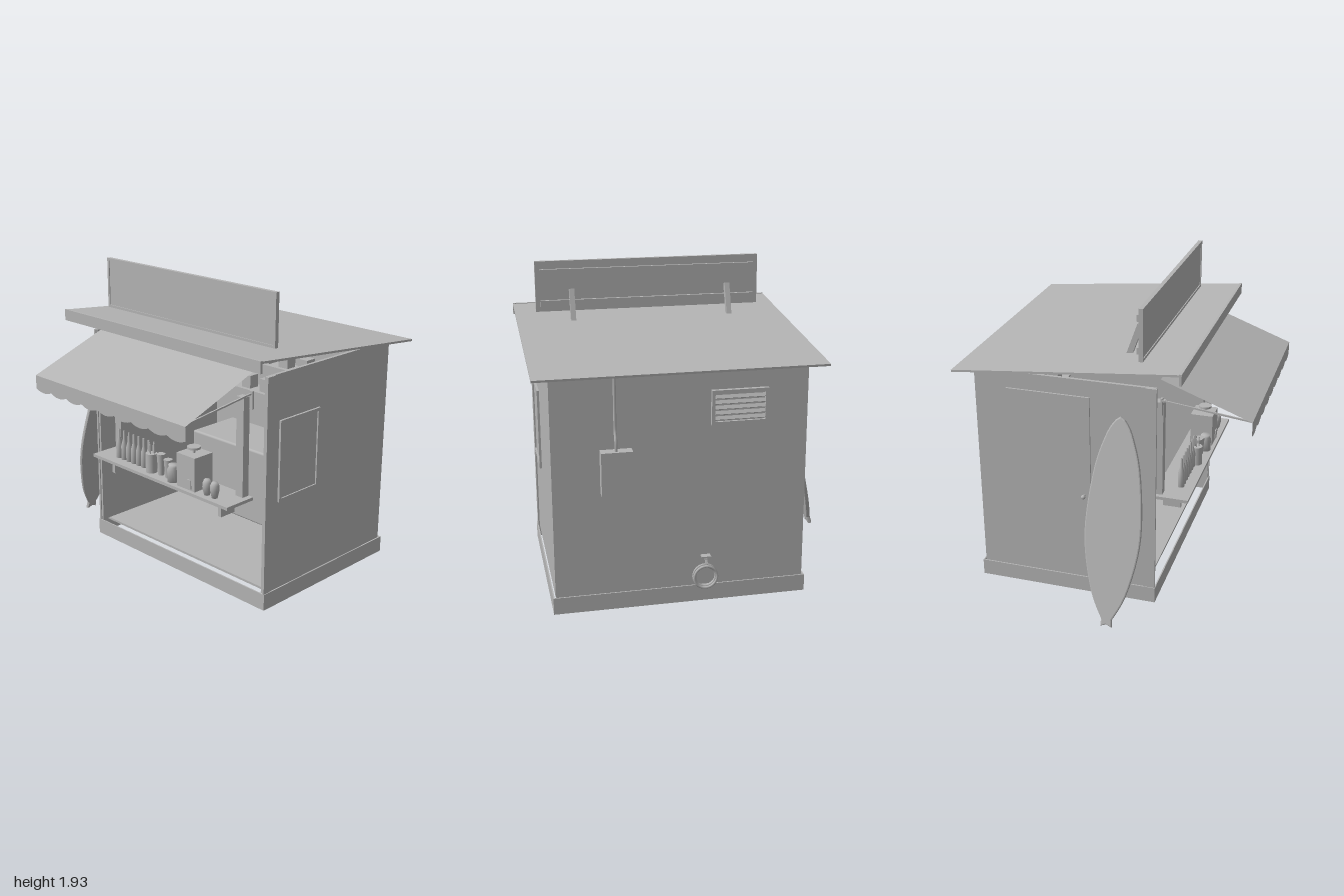
import * as THREE from 'three';
import { RoundedBoxGeometry } from 'three/addons/geometries/RoundedBoxGeometry.js';

export function createModel() {
  const root = new THREE.Group();
  const grey = new THREE.MeshStandardMaterial({ color: 0xb4b4b4 });
  grey.name = 'grey';
  const greySheet = new THREE.MeshStandardMaterial({ color: 0xb4b4b4, side: THREE.DoubleSide });
  greySheet.name = 'grey';

  const add = (name, geo, x = 0, y = 0, z = 0, mat = grey) => {
    const m = new THREE.Mesh(geo, mat);
    m.name = name;
    m.position.set(x, y, z);
    root.add(m);
    return m;
  };
  // box given by its limits on each axis
  const box = (name, x0, x1, y0, y1, z0, z1) =>
    add(name, new THREE.BoxGeometry(x1 - x0, y1 - y0, z1 - z0), (x0 + x1) / 2, (y0 + y1) / 2, (z0 + z1) / 2);
  // thin bar between two points; w across, h thick
  const bar = (name, a, b, w, h) => {
    const p = new THREE.Vector3(...a), q = new THREE.Vector3(...b);
    const m = add(name, new THREE.BoxGeometry(w, h, p.distanceTo(q)));
    m.position.copy(p).add(q).multiplyScalar(0.5);
    m.lookAt(q);
    return m;
  };
  const lathe = (name, pts, x, y, z, n = 16) =>
    add(name, new THREE.LatheGeometry(pts.map(p => new THREE.Vector2(...p)), n), x, y, z, greySheet);
  // rectangular border facing +x, +z or -z, made from four strips
  const frameX = (name, x0, x1, y0, y1, z0, z1, t) => {
    box(name, x0, x1, y0, y1, z0, z0 + t);
    box(name, x0, x1, y0, y1, z1 - t, z1);
    box(name, x0, x1, y0, y0 + t, z0 + t, z1 - t);
    box(name, x0, x1, y1 - t, y1, z0 + t, z1 - t);
  };
  const frameZ = (name, x0, x1, y0, y1, z0, z1, t) => {
    box(name, x0, x0 + t, y0, y1, z0, z1);
    box(name, x1 - t, x1, y0, y1, z0, z1);
    box(name, x0 + t, x1 - t, y0, y0 + t, z0, z1);
    box(name, x0 + t, x1 - t, y1 - t, y1, z0, z1);
  };

  // open base ring and floor
  box('baseFront', -0.635, 0.915, 0, 0.105, 0.347, 0.355);
  box('baseBack', -0.635, 0.915, 0, 0.105, -0.81, -0.802);
  box('baseSide', -0.635, -0.627, 0, 0.105, -0.802, 0.347);
  box('baseSide', 0.907, 0.915, 0, 0.105, -0.802, 0.347);
  box('floor', -0.615, 0.895, 0.09, 0.105, -0.795, 0.29);

  // three walls, front left open
  box('backWall', -0.62, 0.9, 0.105, 1.465, -0.795, -0.775);
  box('leftWall', 0.88, 0.9, 0.105, 1.465, -0.775, 0.345);
  box('rightWall', -0.62, -0.6, 0.105, 1.465, -0.775, 0.345);
  box('cornerTrim', 0.895, 0.91, 0.105, 1.465, 0.285, 0.352);
  box('cornerTrim', -0.63, -0.615, 0.105, 1.465, 0.285, 0.352);

  // roof with fascia
  bar('roof', [0.1425, 1.603, 0.515], [0.1425, 1.467, -0.9], 1.715, 0.013);
  box('fascia', -0.715, 1.0, 1.54, 1.612, 0.503, 0.518);

  // roof sign board
  box('signBoard', -0.59, 0.87, 1.607, 1.93, 0.23, 0.25);
  frameZ('signFrame', -0.59, 0.87, 1.607, 1.93, 0.25, 0.256, 0.016);
  for (const y of [1.66, 1.86]) box('signRail', -0.56, 0.84, y - 0.02, y + 0.02, 0.21, 0.23);
  for (const x of [-0.37, 0.645]) bar('signStrut', [x, 1.755, 0.18], [x, 1.45, 0.073], 0.032, 0.035);

  // awning cloth and scalloped valance
  const cloth = new THREE.PlaneGeometry(1.345, Math.hypot(0.55, 0.205));
  const awning = add('awning', cloth, 0.1375, 1.3875, 0.625, greySheet);
  awning.rotation.x = -Math.atan2(0.55, 0.205);
  const edge = new THREE.Shape();
  edge.moveTo(-0.535, 1.285);
  edge.lineTo(-0.535, 1.2);
  const scallops = 9, step = 1.345 / scallops;
  for (let i = 0; i < scallops; i++) {
    const x = -0.535 + i * step;
    edge.quadraticCurveTo(x + step / 2, 1.165, x + step, 1.2);
  }
  edge.lineTo(0.81, 1.285);
  add('valance', new THREE.ShapeGeometry(edge, 6), 0, 0, 0.9, greySheet);
  for (const x of [-0.51, 0.785]) {
    bar('awningArm', [x, 1.28, 0.895], [x, 1.345, 0.35], 0.01, 0.01);
    box('armPlate', x - 0.012, x + 0.012, 1.25, 1.36, 0.345, 0.357);
  }

  // serving counter
  box('counter', -0.475, 0.755, 0.655, 0.675, 0.29, 0.515);
  for (const x of [-0.352, 0.627]) box('counterBracket', x - 0.013, x + 0.013, 0.555, 0.655, 0.33, 0.445);
  for (const x of [-0.417, 0.69]) box('hatchPost', x - 0.029, x + 0.029, 0.675, 1.3, 0.295, 0.345);

  // bottles in a row
  for (let i = 0; i < 8; i++)
    lathe('bottle', [[0, 0], [0.021, 0], [0.021, 0.095], [0.009, 0.14], [0.007, 0.195], [0, 0.195]], -0.305 + i * 0.048, 0.675, 0.43, 12);

  // canister with straws, cups, jar and glasses
  add('canister', new THREE.CylinderGeometry(0.037, 0.037, 0.125, 16), 0.028, 0.738, 0.45);
  for (const [dx, dz] of [[-0.015, 0], [0.005, 0.012], [0.015, -0.01]])
    add('straw', new THREE.CylinderGeometry(0.004, 0.004, 0.08, 6), 0.028 + dx, 0.825, 0.45 + dz);
  add('cupStack', new THREE.CylinderGeometry(0.028, 0.019, 0.14, 16), 0.107, 0.745, 0.44);
  add('cupStack', new THREE.CylinderGeometry(0.028, 0.019, 0.12, 16), 0.172, 0.735, 0.44);
  lathe('jar', [[0, 0], [0.036, 0], [0.038, 0.08], [0.028, 0.095], [0.03, 0.112], [0, 0.112]], 0.238, 0.675, 0.46);
  for (const x of [0.535, 0.6])
    lathe('glass', [[0, 0], [0.018, 0], [0.029, 0.05], [0.027, 0.08], [0.018, 0.1], [0, 0.1]], x, 0.675, 0.46);

  // drink dispenser
  box('dispenser', 0.303, 0.46, 0.675, 0.892, 0.34, 0.49);
  box('dispenserTap', 0.395, 0.43, 0.685, 0.745, 0.49, 0.497);
  add('pressStem', new THREE.CylinderGeometry(0.008, 0.008, 0.04, 10), 0.382, 0.91, 0.42);
  add('pressDisk', new THREE.CylinderGeometry(0.042, 0.042, 0.014, 20), 0.382, 0.927, 0.42);

  // chest fridge and back shelves
  add('fridge', new RoundedBoxGeometry(0.695, 0.53, 0.41, 3, 0.015), -0.083, 0.37, -0.565);
  for (const y of [0.925, 1.14]) {
    box('shelf', -0.58, 0.855, y, y + 0.012, -0.775, -0.63);
    for (let i = 0; i < 7; i++) {
      const x = -0.37 + i * 0.17;
      box('carton', x - 0.04, x + 0.04, y + 0.012, y + 0.105, -0.74, -0.66);
    }
  }

  // side window
  box('windowPane', 0.9, 0.905, 0.69, 1.165, -0.1, 0.215);
  frameX('windowFrame', 0.898, 0.914, 0.672, 1.183, -0.122, 0.237, 0.021);

  // side door and knob
  box('door', -0.632, -0.615, 0.12, 1.36, -0.59, -0.06);
  add('knobStem', new THREE.CylinderGeometry(0.006, 0.006, 0.03, 8), -0.64, 0.7, -0.1).rotation.z = Math.PI / 2;
  add('knob', new THREE.SphereGeometry(0.014, 12, 8), -0.657, 0.7, -0.1);

  // louvred vent
  box('ventPanel', -0.37, -0.04, 1.13, 1.32, -0.805, -0.795);
  frameZ('ventFrame', -0.375, -0.035, 1.12, 1.33, -0.82, -0.795, 0.02);
  for (let i = 0; i < 5; i++) {
    const slat = add('ventSlat', new THREE.BoxGeometry(0.3, 0.022, 0.006), -0.205, 1.162 + i * 0.032, -0.815);
    slat.rotation.x = 0.6;
  }

  // meter box with conduit
  box('meterBox', 0.435, 0.62, 0.745, 1.01, -0.86, -0.795);
  const path = new THREE.CatmullRomCurve3([[1.0, -0.835], [1.07, -0.833], [1.12, -0.812], [1.2, -0.809], [1.455, -0.809]]
    .map(([y, z]) => new THREE.Vector3(0.53, y, z)));
  add('conduit', new THREE.TubeGeometry(path, 20, 0.009, 8));

  // coiled hose and tap
  for (const [r, z] of [[0.07, -0.818], [0.064, -0.832], [0.07, -0.845]])
    add('hose', new THREE.TorusGeometry(r, 0.008, 8, 28), 0, 0.17, z);
  add('tapPipe', new THREE.CylinderGeometry(0.008, 0.008, 0.06, 10), 0, 0.29, -0.825).rotation.x = Math.PI / 2;
  bar('tapSpout', [0, 0.295, -0.845], [0, 0.262, -0.862], 0.014, 0.014);
  box('tapHandle', -0.028, 0.028, 0.304, 0.313, -0.865, -0.825);

  // leaning surfboard: rounded sections along its length
  const outline = new THREE.Shape();
  const half = new THREE.SplineCurve([[0.025, -0.6], [0.1, -0.44], [0.158, -0.18], [0.165, 0.05], [0.13, 0.35], [0.07, 0.55], [0.022, 0.63]]
    .map(p => new THREE.Vector2(...p))).getPoints(24);
  outline.moveTo(0, -0.625);
  outline.lineTo(0.03, -0.64);
  half.forEach(p => outline.lineTo(p.x, p.y));
  outline.lineTo(0, 0.645);
  [...half].reverse().forEach(p => outline.lineTo(-p.x, p.y));
  outline.lineTo(-0.03, -0.64);
  const boardGeo = new THREE.ExtrudeGeometry(outline, { depth: 0.012, bevelThickness: 0.008, bevelSize: 0.008, bevelSegments: 2 });
  boardGeo.translate(0, 0, -0.006);
  boardGeo.rotateY(Math.PI / 2);
  add('surfboard', boardGeo, -0.827, 0.65, 0.148).rotation.z = -0.252;

  return root;
}
